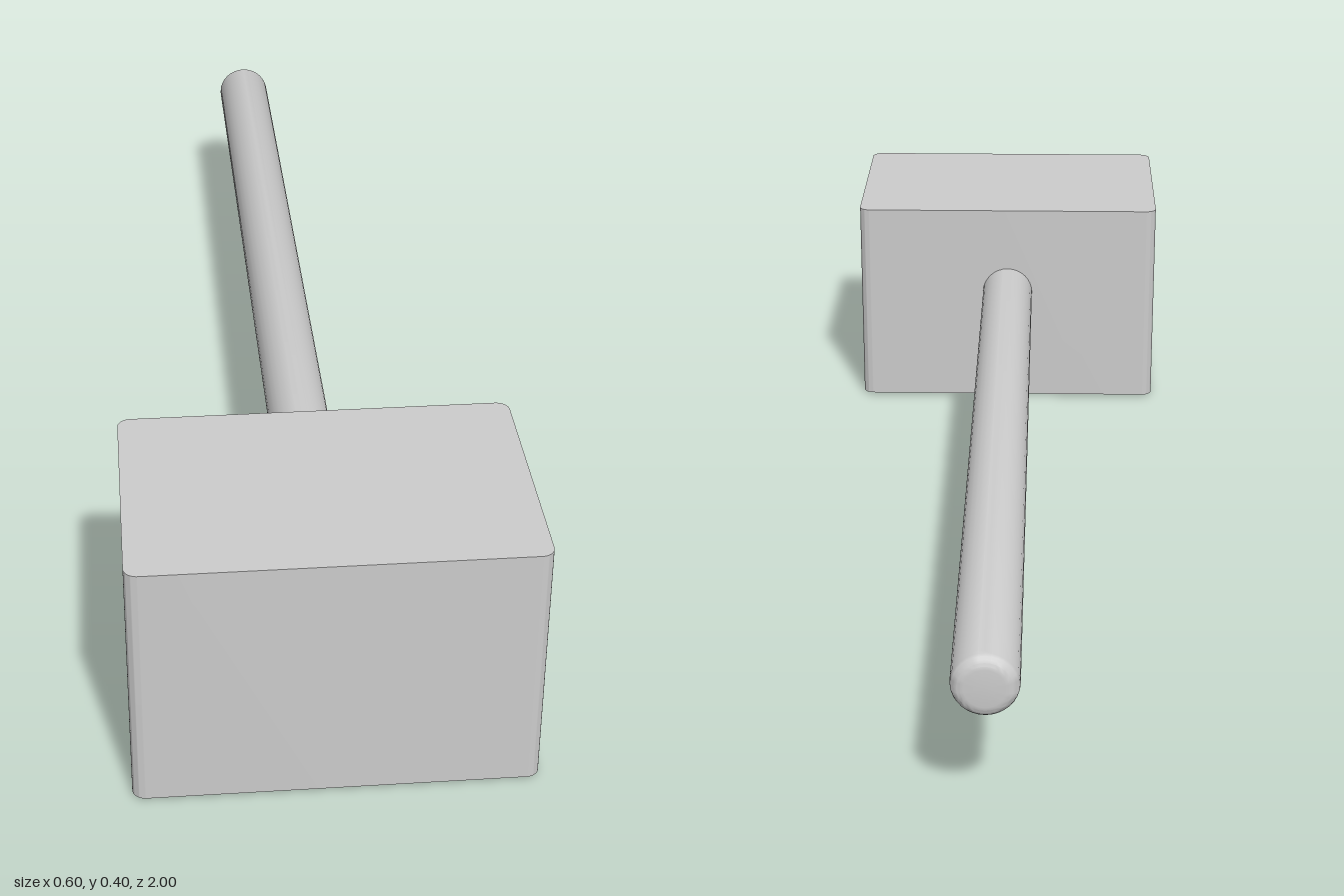
import * as THREE from 'three';
import { toCreasedNormals } from 'three/addons/utils/BufferGeometryUtils.js';

const material = new THREE.MeshStandardMaterial({ color: 0xcccccc });

// Upright block with rounded vertical edges, standing on y = 0
function roundedBlock(width, depth, height, r) {
  const x = width / 2, y = depth / 2;
  const s = new THREE.Shape();
  s.absarc(x - r, y - r, r, 0, Math.PI / 2);
  s.absarc(r - x, y - r, r, Math.PI / 2, Math.PI);
  s.absarc(r - x, r - y, r, Math.PI, Math.PI * 1.5);
  s.absarc(x - r, r - y, r, Math.PI * 1.5, Math.PI * 2);
  s.closePath();
  const g = new THREE.ExtrudeGeometry(s, { depth: height, bevelEnabled: false, curveSegments: 8 });
  return toCreasedNormals(g.rotateX(-Math.PI / 2), Math.PI / 6);
}

export function createModel() {
  const model = new THREE.Group();
  const add = (name, geometry, x, y, z) => {
    const mesh = new THREE.Mesh(geometry, material);
    mesh.name = name;
    mesh.position.set(x, y, z);
    model.add(mesh);
  };

  // Mallet head and the thin raised pad on its underside
  add('head', roundedBlock(0.6, 0.4, 0.4, 0.02), 0, 0.004, 0.8);
  add('strikingPad', new THREE.BoxGeometry(0.5, 0.004, 0.3), 0, 0.002, 0.8);

  // Round handle running backwards, with a softened end
  const radius = 0.05, fillet = 0.02, length = 1.62;
  const profile = [new THREE.Vector2(0, 0), new THREE.Vector2(radius, 0)];
  for (let i = 0; i <= 6; i++) {
    const a = (i / 6) * Math.PI / 2;
    profile.push(new THREE.Vector2(
      radius - fillet + fillet * Math.cos(a),
      length - fillet + fillet * Math.sin(a)));
  }
  profile.push(new THREE.Vector2(0, length));
  const handle = new THREE.LatheGeometry(profile, 32).rotateX(-Math.PI / 2);
  add('handle', toCreasedNormals(handle, Math.PI / 6), 0, 0.23, 0.62);

  return model;
}
